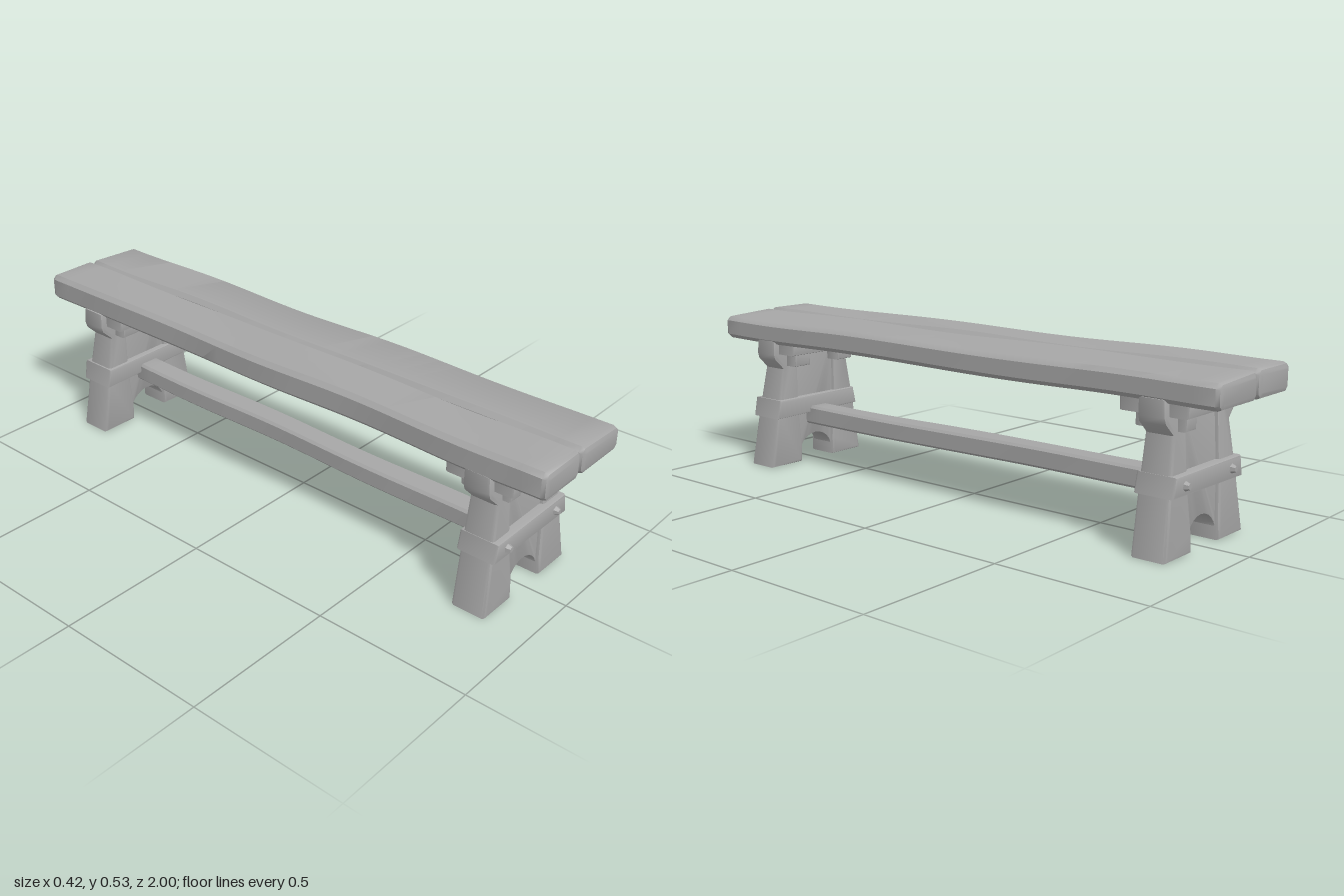
import * as THREE from 'three';
import { toCreasedNormals } from 'three/addons/utils/BufferGeometryUtils.js';

const wood = new THREE.MeshStandardMaterial({ color: 0xa6a6a6 });
wood.name = 'grey wood';

// Move every vertex by a rule, then keep only the sharp edges sharp
function finish(geo, name, rule) {
  const p = geo.attributes.position;
  const v = new THREE.Vector3();
  if (rule) {
    for (let i = 0; i < p.count; i++) {
      rule(v.fromBufferAttribute(p, i));
      p.setXYZ(i, v.x, v.y, v.z);
    }
  }
  const mesh = new THREE.Mesh(toCreasedNormals(geo, 0.75), wood);
  mesh.name = name;
  return mesh;
}

// Bevelled slab: outline in x/y, running from z0 to z1
function slab(points, z0, z1, bevel, steps = 1) {
  const geo = new THREE.ExtrudeGeometry(new THREE.Shape(points.map(([x, y]) => new THREE.Vector2(x, y))), {
    depth: z1 - z0 - 2 * bevel, steps,
    bevelThickness: bevel, bevelSize: bevel, bevelOffset: -bevel, bevelSegments: 2,
  });
  geo.translate(0, 0, z0 + bevel);
  return geo;
}

// Rectangle with cut corners
function rect(x0, x1, y0, y1, c) {
  return [[x0 + c, y0], [x1 - c, y0], [x1, y0 + c], [x1, y1 - c],
    [x1 - c, y1], [x0 + c, y1], [x0, y1 - c], [x0, y0 + c]];
}

const block = (name, x0, x1, y0, y1, z0, z1, bevel = 0.008) =>
  finish(slab([[x0, y0], [x1, y0], [x1, y1], [x0, y1]], z0, z1, bevel), name);

// Hand-hewn waviness along the length
const hewn = (amount, phase) => (v) => {
  const fade = 1 - Math.pow(Math.abs(v.z), 8);
  v.x += amount * fade * Math.sin(v.z * 9 + phase + v.y * 8);
  v.y += amount * fade * Math.sin(v.z * 6.5 + phase * 2 + v.x * 9);
};

// The outer face leans inward towards the top
const lean = (v) => {
  if (v.z > 0.79) v.z -= 0.03 * Math.min(1, v.y / 0.44);
};

function trestle() {
  const g = new THREE.Group();

  // Two splayed legs with flared shoulders
  for (const s of [1, -1]) {
    const outline = [[0.075, 0], [0.21, 0], [0.183, 0.18], [0.152, 0.345],
      [0.188, 0.38], [0.194, 0.4], [0.192, 0.45], [0.085, 0.45], [0.085, 0.2], [0.072, 0.06]];
    const pts = outline.map(([x, y]) => [s * x, y]);
    if (s < 0) pts.reverse();
    g.add(finish(slab(pts, 0.745, 0.862, 0.01), s > 0 ? 'leftLeg' : 'rightLeg', lean));
  }

  // Centre panel with the arch cut out of its foot
  const arch = [[0.1, 0.02], [0.1, 0.45], [-0.1, 0.45], [-0.1, 0.02]];
  for (let i = 0; i <= 12; i++) {
    const a = Math.PI * (1 - i / 12);
    arch.push([0.077 * Math.cos(a), 0.02 + 0.072 * Math.sin(a)]);
  }
  g.add(finish(slab(arch, 0.757, 0.85, 0.004), 'archedPanel', lean));

  // Strap around the trestle, slightly tapered
  g.add(finish(slab([[-0.187, 0.177], [0.19, 0.172], [0.178, 0.237], [-0.174, 0.237]],
    0.735, 0.866, 0.008), 'strap'));

  // Faceted pegs in the strap
  for (const x of [-0.127, 0.125]) {
    const peg = new THREE.CylinderGeometry(0.009, 0.016, 0.016, 6);
    peg.rotateX(Math.PI / 2).translate(x, 0.206, 0.872);
    g.add(finish(peg, 'peg'));
  }

  // Outer bracket: stepped blocks under one plank
  g.add(block('outerBracket', -0.17, -0.026, 0.4, 0.45, 0.8, 0.895));
  g.add(block('outerBracketStep', -0.13, -0.076, 0.354, 0.41, 0.8, 0.865));

  // Inner cross beam with stepped supports
  g.add(block('crossBeam', -0.17, 0.17, 0.4, 0.45, 0.67, 0.76));
  for (const x of [-0.1, 0.1]) {
    g.add(block('crossBeamStep', x - 0.035, x + 0.035, 0.355, 0.41, 0.7, 0.76));
  }
  return g;
}

export function createModel() {
  const model = new THREE.Group();
  model.name = 'bench';

  // Seat planks
  const wave = hewn(0.003, 0.6);
  model.add(finish(slab(rect(-0.189, -0.012, 0.438, 0.525, 0.014), -1, 1, 0.016, 30), 'rightPlank', wave));
  const wave2 = hewn(0.003, 2.1);
  model.add(finish(slab(rect(-0.008, 0.194, 0.438, 0.523, 0.014), -1, 1, 0.016, 30), 'leftPlank', (v) => {
    if (v.y > 0.48 && v.x > 0.1) v.y -= 0.009;
    wave2(v);
  }));

  // Trestles, the rear one turned round
  const front = trestle();
  front.name = 'frontTrestle';
  const back = trestle();
  back.name = 'backTrestle';
  back.rotation.y = Math.PI;
  model.add(front, back);

  // Long stretcher between the trestles, slightly tilted
  const wave3 = hewn(0.002, 1.2);
  model.add(finish(slab(rect(-0.04, 0.04, 0.137, 0.202, 0.008), -0.77, 0.77, 0.006, 20), 'stretcher', (v) => {
    v.y -= 0.008 * v.z;
    wave3(v);
  }));
  return model;
}
